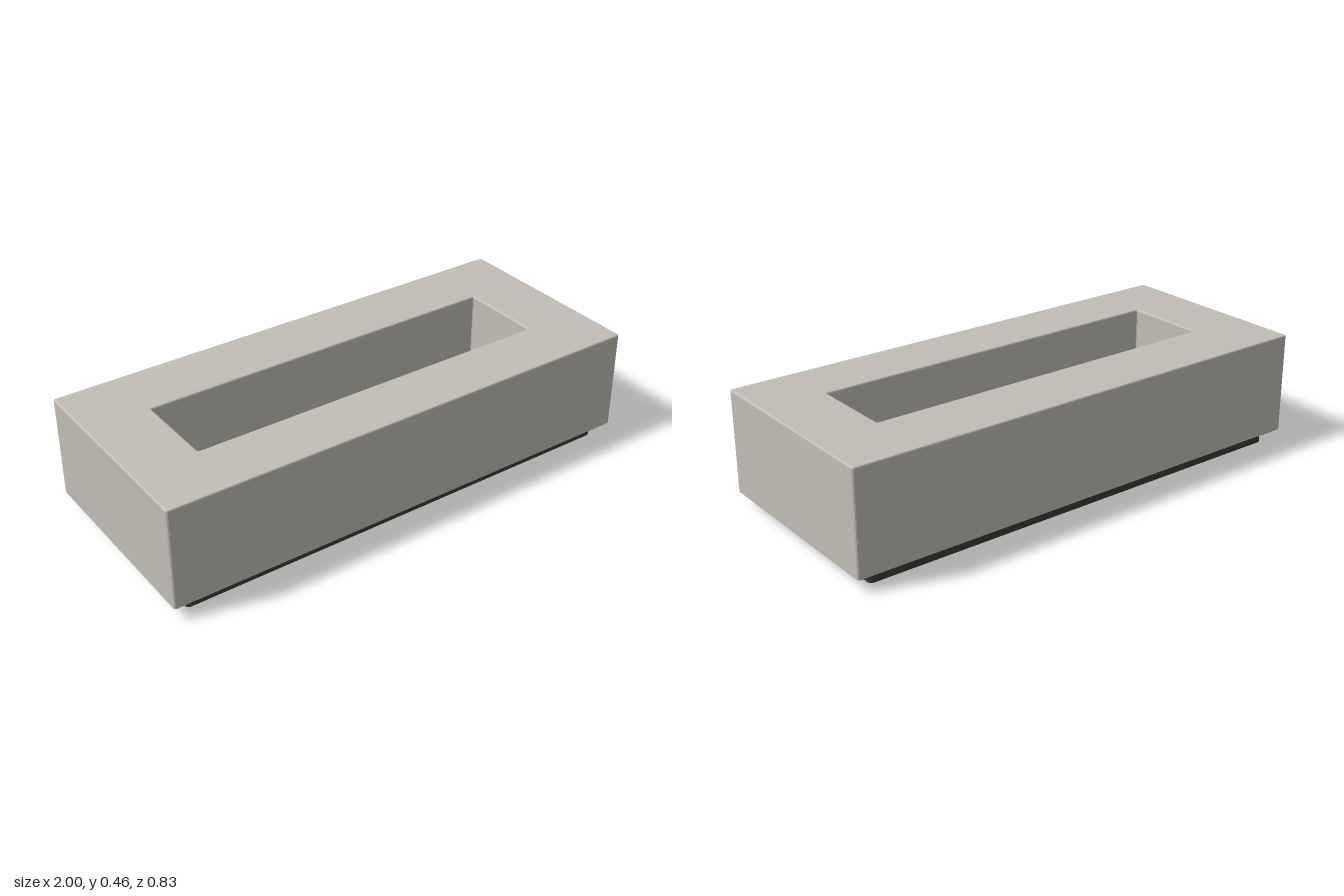
import * as THREE from 'three';

const stone = new THREE.MeshStandardMaterial({ color: 0xc2beb6 });
stone.name = 'warm grey stone';
const dark = new THREE.MeshStandardMaterial({ color: 0x3b3b33 });
dark.name = 'dark plinth';

// Rectangle with softened corners, drawn into a Shape or a Path
function roundedRect(target, x0, x1, z0, z1, r) {
  // the shape's y runs along -z once the extrusion is stood upright
  const [y0, y1] = [-z1, -z0];
  target.moveTo(x0 + r, y0);
  target.lineTo(x1 - r, y0);
  target.quadraticCurveTo(x1, y0, x1, y0 + r);
  target.lineTo(x1, y1 - r);
  target.quadraticCurveTo(x1, y1, x1 - r, y1);
  target.lineTo(x0 + r, y1);
  target.quadraticCurveTo(x0, y1, x0, y1 - r);
  target.lineTo(x0, y0 + r);
  target.quadraticCurveTo(x0, y0, x0 + r, y0);
  return target;
}

// Upright slab from yBottom to yTop, with an optional hole and bevelled rims
function slab(name, material, outer, hole, yBottom, yTop, bevel = 0) {
  const shape = roundedRect(new THREE.Shape(), ...outer);
  if (hole) shape.holes.push(roundedRect(new THREE.Path(), ...hole));
  const geometry = new THREE.ExtrudeGeometry(shape, {
    depth: yTop - yBottom - 2 * bevel,
    curveSegments: 4,
    bevelEnabled: bevel > 0,
    bevelThickness: bevel,
    bevelSize: bevel,
    bevelOffset: -bevel,
    bevelSegments: 2,
  });
  geometry.rotateX(-Math.PI / 2);
  geometry.translate(0, yBottom + bevel, 0);
  const mesh = new THREE.Mesh(geometry, material);
  mesh.name = name;
  return mesh;
}

export function createModel() {
  const group = new THREE.Group();
  group.name = 'rectangular trough';
  const outline = [-1, 1, -0.417, 0.417, 0.012];
  const pocket = [-0.743, 0.743, -0.157, 0.175, 0.006];
  const plinth = [-0.935, 0.935, -0.38, 0.38, 0.02];
  const recess = [-0.893, 0.893, -0.338, 0.338, 0.006];

  // Stone body with a long open pocket, and the skirt below it
  group.add(slab('body', stone, outline, pocket, 0.09, 0.457, 0.006));
  group.add(slab('skirt', stone, outline, plinth, 0.053, 0.1));

  // Floor of the pocket
  group.add(slab('pocketFloor', stone, [-0.76, 0.76, -0.175, 0.192, 0.006], null, 0.13, 0.15));

  // Dark underside of the overhang
  group.add(slab('underside', dark, [-0.998, 0.998, -0.415, 0.415, 0.012], plinth, 0.051, 0.055));

  // Plinth ring and the floor of the hollow inside it
  group.add(slab('plinth', dark, plinth, recess, 0, 0.095, 0.003));
  group.add(slab('hollowFloor', dark, [-0.91, 0.91, -0.355, 0.355, 0.006], null, 0.088, 0.094));

  return group;
}
